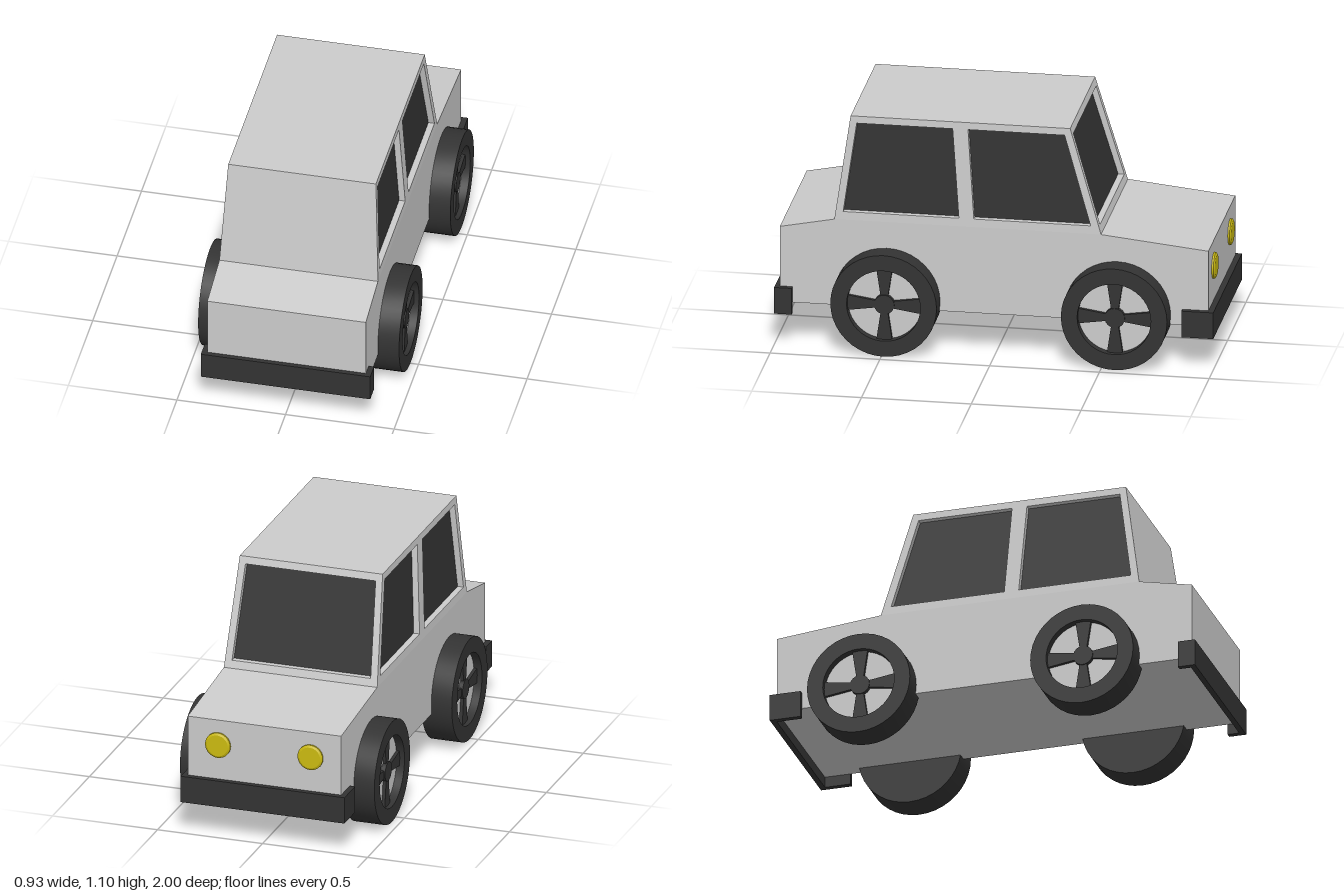
import * as THREE from 'three';
import { toCreasedNormals } from 'three/addons/utils/BufferGeometryUtils.js';

const paint = new THREE.MeshStandardMaterial({ color: 0xcccccc });
const black = new THREE.MeshStandardMaterial({ color: 0x333333 });
const yellow = new THREE.MeshStandardMaterial({ color: 0xccbb11 });

const WAIST = 0.61, ROOF = 1.1, PANEL = 0.03;

// Height within the cabin, 0 at the waist and 1 at the roof
const rise = (y) => (y - WAIST) / (ROOF - WAIST);
const halfWidth = (y) => 0.365 - 0.025 * rise(y);
const frontZ = (y) => -0.485 + 0.145 * rise(y);
const backZ = (y) => 0.73 - 0.07 * rise(y);

function mesh(name, geometry, material) {
  const m = new THREE.Mesh(geometry, material);
  m.name = name;
  return m;
}

const polygon = (points) => new THREE.Shape(points.map(([x, y]) => new THREE.Vector2(x, y)));

function extrude(outline, depth, holes = []) {
  const shape = polygon(outline);
  shape.holes = holes.map(polygon);
  return new THREE.ExtrudeGeometry(shape, { depth, bevelEnabled: false });
}

// Moves every vertex by a rule
function reshape(geometry, rule) {
  const pos = geometry.attributes.position;
  const v = new THREE.Vector3();
  for (let i = 0; i < pos.count; i++) {
    rule(v.fromBufferAttribute(pos, i));
    pos.setXYZ(i, v.x, v.y, v.z);
  }
  geometry.computeVertexNormals();
  return geometry;
}

// Box between two heights that follows the cabin's slopes, set in by a margin
function cabinBlock(y0, y1, inset) {
  const g = new THREE.BoxGeometry(2, y1 - y0, 1).translate(0, (y0 + y1) / 2, 0);
  return reshape(g, (v) => {
    v.x *= halfWidth(v.y) - inset;
    v.z = v.z < 0 ? frontZ(v.y) + inset : backZ(v.y) - inset;
  });
}

function createCabin() {
  const cabin = new THREE.Group();
  cabin.name = 'cabin';

  // Side walls with two window openings each
  const sideOutline = [[backZ(WAIST), WAIST], [backZ(ROOF), ROOF], [frontZ(ROOF), ROOF], [frontZ(WAIST), WAIST]];
  const sideHoles = [
    [[0.69, 0.648], [0.163, 0.648], [0.195, 1.067], [0.632, 1.067]],
    [[0.095, 0.648], [-0.437, 0.648], [-0.315, 1.067], [0.125, 1.067]],
  ];
  const sideGeo = reshape(
    extrude(sideOutline, PANEL, sideHoles).rotateY(-Math.PI / 2),
    (v) => { v.x += halfWidth(v.y); },
  );
  for (const s of [1, -1]) {
    const wall = mesh('sideWall', sideGeo, paint);
    wall.scale.x = s;
    cabin.add(wall);
  }

  // Windscreen frame and closed tail wall
  const crossOutline = [[-0.365, WAIST], [0.365, WAIST], [0.34, ROOF], [-0.34, ROOF]];
  const screenHole = [[-0.33, 0.645], [0.33, 0.645], [0.31, 1.067], [-0.31, 1.067]];
  cabin.add(mesh('windscreenFrame', reshape(
    extrude(crossOutline, PANEL, [screenHole]), (v) => { v.z += frontZ(v.y); }), paint));
  cabin.add(mesh('tailWall', reshape(
    extrude(crossOutline, PANEL), (v) => { v.z += backZ(v.y) - PANEL; }), paint));

  cabin.add(mesh('roof', cabinBlock(1.07, ROOF, 0), paint));
  cabin.add(mesh('windowGlass', cabinBlock(WAIST - 0.01, 1.08, PANEL - 0.002), black));
  return cabin;
}

// Wheel with its outer face towards +x, axle on the local x axis
function createWheel() {
  const wheel = new THREE.Group();
  wheel.name = 'wheel';
  const profile = [[0, 0.318], [0.242, 0.318], [0.242, 0.4625], [0.168, 0.4625], [0.168, 0.41]]
    .map(([r, x]) => new THREE.Vector2(r, x));
  const tyre = new THREE.LatheGeometry(profile, 40).rotateZ(-Math.PI / 2);
  wheel.add(mesh('tyre', toCreasedNormals(tyre, 0.6), black));

  const disc = new THREE.CylinderGeometry(0.17, 0.17, 0.04, 40).rotateZ(-Math.PI / 2);
  wheel.add(mesh('rimDisc', disc.translate(0.405, 0, 0), paint));

  const hub = new THREE.CylinderGeometry(0.046, 0.046, 0.04, 24).rotateZ(-Math.PI / 2);
  wheel.add(mesh('hub', hub.translate(0.425, 0, 0), black));

  // Four spokes that widen towards the rim
  const spokeGeo = extrude([[-0.014, 0.02], [0.014, 0.02], [0.036, 0.168], [-0.036, 0.168]], 0.02)
    .rotateY(Math.PI / 2).translate(0.42, 0, 0);
  for (let i = 0; i < 4; i++) {
    const spoke = mesh('spoke', spokeGeo, black);
    spoke.rotation.x = i * Math.PI / 2;
    wheel.add(spoke);
  }
  return wheel;
}

// U-shaped bumper wrapping round one end of the body
function createBumper(name, end, reach) {
  const t = 0.026, w = 0.39;
  const outline = [
    [-w, reach], [-w, 1], [w, 1], [w, reach],
    [w - t, reach], [w - t, 1 - t], [t - w, 1 - t], [t - w, reach],
  ].map(([x, z]) => [x, z * end]);
  return mesh(name, extrude(outline, 0.125).rotateX(Math.PI / 2).translate(0, 0.275, 0), black);
}

export function createModel() {
  const car = new THREE.Group();
  car.name = 'car';

  // Lower body from its side profile
  const profile = [[0.978, 0.2], [0.978, 0.56], [0.73, WAIST], [-0.485, WAIST], [-0.974, 0.56], [-0.974, 0.2]];
  car.add(mesh('body', extrude(profile, 0.73).rotateY(-Math.PI / 2).translate(0.365, 0, 0), paint));
  car.add(createCabin());

  car.add(createBumper('headlightEndBumper', -1, 0.855));
  car.add(createBumper('tailBumper', 1, 0.92));

  // Headlights with a chamfered rim
  const lampProfile = [[0, 0], [0.06, 0], [0.06, 0.012], [0.05, 0.018], [0, 0.018]]
    .map(([r, h]) => new THREE.Vector2(r, h));
  const lampGeo = toCreasedNormals(new THREE.LatheGeometry(lampProfile, 28).rotateX(-Math.PI / 2), 0.5);

  for (const s of [1, -1]) {
    const lamp = mesh('headlight', lampGeo, yellow);
    lamp.position.set(s * 0.22, 0.44, -0.97);
    car.add(lamp);

    for (const z of [0.49, -0.56]) {
      const wheel = createWheel();
      wheel.position.set(0, 0.243, z);
      wheel.scale.x = s;
      car.add(wheel);
    }
  }
  return car;
}
